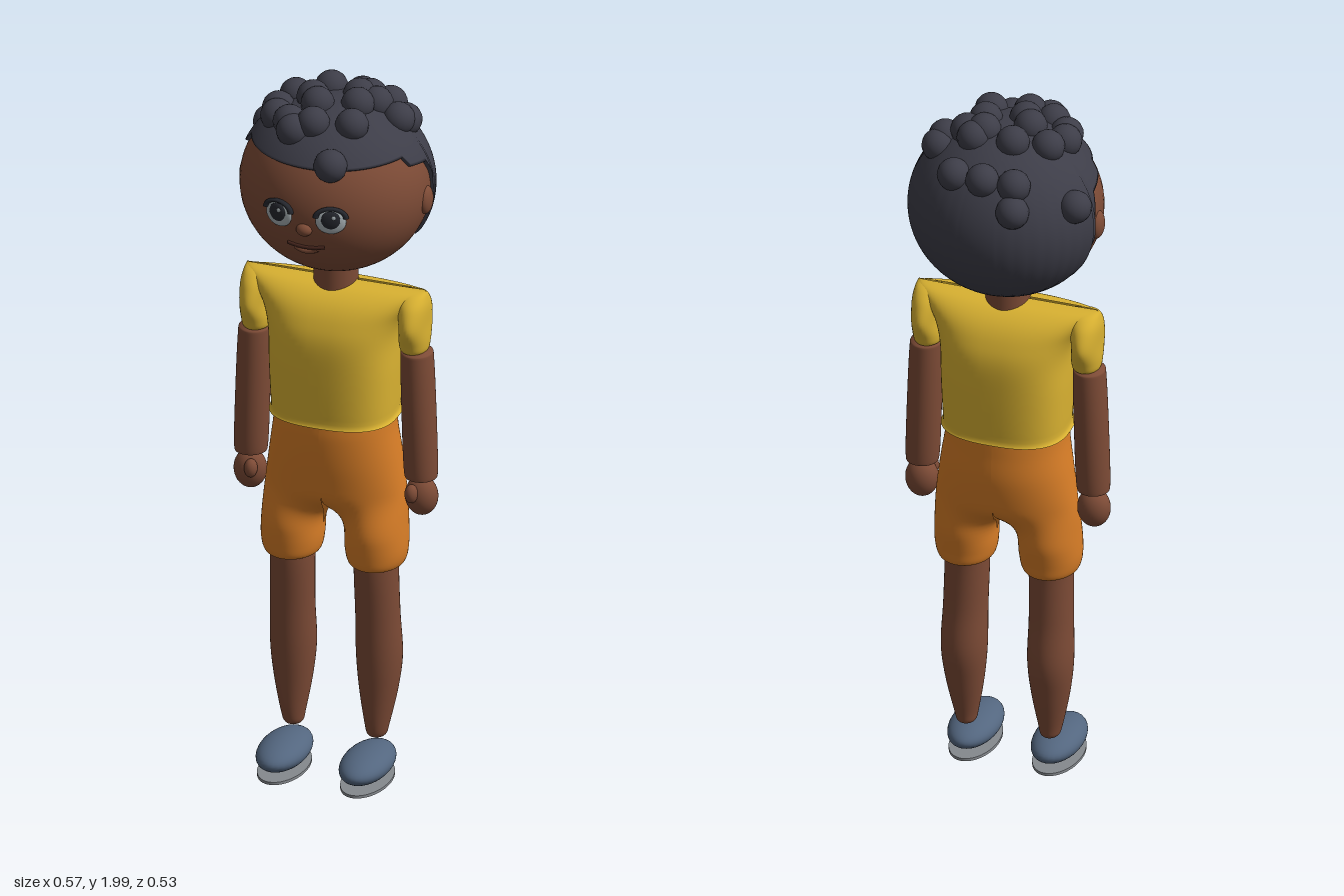
import * as THREE from 'three';

const mat = (name, color, side = THREE.FrontSide) => {
  const m = new THREE.MeshStandardMaterial({ color, side });
  m.name = name;
  return m;
};

// Surface from a grid of points: rows ascending, columns running from +x towards +z
function grid(rows, closed) {
  const n = rows[0].length, pos = rows.flat(2), idx = [];
  for (let i = 0; i < rows.length - 1; i++)
    for (let j = 0; j < (closed ? n : n - 1); j++) {
      const a = i * n + j, b = i * n + (j + 1) % n;
      idx.push(a, a + n, b, b, a + n, b + n);
    }
  const g = new THREE.BufferGeometry();
  g.setAttribute('position', new THREE.Float32BufferAttribute(pos, 3));
  g.setIndex(idx);
  g.computeVertexNormals();
  return g;
}

// Smooth interpolation of section rows [y, cx, cz, rx, rz]
function smoothRows(rows, steps) {
  const c = new THREE.CatmullRomCurve3(rows.map(r => new THREE.Vector3(r[0], r[1], r[2])), false, 'catmullrom');
  const s = new THREE.CatmullRomCurve3(rows.map(r => new THREE.Vector3(r[3], r[4], 0)), false, 'catmullrom');
  return Array.from({ length: steps + 1 }, (_, i) => {
    const p = c.getPoint(i / steps), q = s.getPoint(i / steps);
    return [p.x, p.y, p.z, Math.max(q.x, 0.001), Math.max(q.y, 0.001)];
  });
}

// Loft of superelliptic sections
function loft(rows, power = 2, n = 40) {
  const f = v => Math.sign(v) * Math.abs(v) ** (2 / power);
  return grid(smoothRows(rows, rows.length * 5).map(([y, cx, cz, rx, rz]) =>
    Array.from({ length: n }, (_, j) => {
      const a = j / n * Math.PI * 2;
      return [cx + rx * f(Math.cos(a)), y, cz + rz * f(Math.sin(a))];
    })), true);
}

const HEAD = { y: 1.71, r: [0.256, 0.24, 0.247] };
const HAIR = [0.266, 0.246, 0.263];

// Hair shell whose lower edge follows a hairline given by azimuth from the front
function hairShell() {
  const line = [[0, 1.842], [72, 1.842], [76, 1.815], [94, 1.8], [98, 1.76], [102, 1.58], [115, 1.535], [130, 1.495], [180, 1.477]];
  const edge = deg => {
    const k = Math.max(1, line.findIndex(p => p[0] >= deg));
    const [a, b] = [line[k - 1], line[k]];
    const y = a[1] + (b[1] - a[1]) * (deg - a[0]) / (b[0] - a[0]);
    const jag = deg > 102 && deg < 170 ? 0.007 * Math.sin(deg * 0.7) : 0;
    return Math.acos((y + jag - HEAD.y) / HAIR[1]);
  };
  const rows = [], cols = 180, steps = 36;
  for (let i = -1; i <= steps; i++) {
    const t = i < 0 ? 1 : 1 - i / steps, s = i < 0 ? 0.93 : 1;
    rows.push(Array.from({ length: cols }, (_, j) => {
      const a = j / cols * Math.PI * 2;
      const deg = Math.abs(Math.atan2(Math.cos(a), Math.sin(a))) * 180 / Math.PI;
      const th = Math.max(t * edge(Math.min(deg, 180)), 0.002);
      return [s * HAIR[0] * Math.sin(th) * Math.cos(a), HEAD.y + s * HAIR[1] * Math.cos(th), s * HAIR[2] * Math.sin(th) * Math.sin(a)];
    }));
  }
  return grid(rows, true);
}

// One half of the shorts: half-ellipse at the waist that closes into a round leg
function shortsHalf() {
  const rows = smoothRows([
    [0.615, 0.118, 0.008, 0.05, 0.06], [0.62, 0.118, 0.008, 0.073, 0.084], [0.66, 0.118, 0.008, 0.084, 0.092],
    [0.74, 0.116, 0.003, 0.084, 0.103], [0.82, 0.11, -0.004, 0.085, 0.118], [0.92, 0.1, -0.004, 0.082, 0.131],
    [1.0, 0.09, 0, 0.08, 0.132], [1.045, 0.088, 0, 0.078, 0.13]], 44);
  const n = 48;
  return grid(rows.map(([y, cx, cz, rx, rz]) => {
    const s = 1 - THREE.MathUtils.smoothstep(y, 0.7, 0.83);
    return Array.from({ length: n + 1 }, (_, j) => {
      const a = (j / n * 2 - 1) * Math.PI, h = a / 2;
      const x = THREE.MathUtils.lerp((cx + rx) * Math.cos(h), cx + rx * Math.cos(a), s);
      return [Math.max(x, 0), y, cz + rz * THREE.MathUtils.lerp(Math.sin(h), Math.sin(a), s)];
    });
  }), false);
}

export function createModel() {
  const root = new THREE.Group();
  root.name = 'child';
  const skin = mat('skin', 0x7d4b36), shirt = mat('yellowShirt', 0xdcb432, THREE.DoubleSide);
  const shorts = mat('orangeShorts', 0xd97e27, THREE.DoubleSide), hair = mat('darkHair', 0x3d3d48, THREE.DoubleSide);
  const shoe = mat('blueShoe', 0x53667f), soleMat = mat('greySole', 0x85898e);
  const white = mat('eyeWhite', 0xa9b2b6), dark = mat('eyeDark', 0x25272e), lip = mat('lip', 0x4a281f);

  const add = (name, geo, material, parent = root) => {
    const m = new THREE.Mesh(geo, material);
    m.name = name;
    parent.add(m);
    return m;
  };
  const ball = (name, material, p, r, parent = root, seg = 32) => {
    const m = add(name, new THREE.SphereGeometry(1, seg, Math.ceil(seg * 0.7)), material, parent);
    m.position.set(...p);
    m.scale.set(...r);
    return m;
  };

  // Head and hair
  ball('head', skin, [0, HEAD.y, 0], HEAD.r, root, 56);
  add('hair', hairShell(), hair);
  const curls = [[-0.09, -0.22], [-0.08, -0.18], [0.005, -0.19], [0.09, -0.175], [-0.225, -0.105], [-0.04, -0.075],
    [-0.125, -0.035], [0.07, -0.075], [0.172, -0.065], [0.163, -0.035], [0.05, -0.045], [0.1, -0.04], [0.065, 0.01],
    [-0.15, 0.03], [-0.14, 0.07], [-0.06, 0.01], [-0.035, 0.045], [-0.09, 0.11], [-0.02, 0.12], [-0.07, 0.14],
    [0.08, 0.095], [0.06, 0.205]];
  for (const [x, z] of curls) {
    const h = Math.sqrt(Math.max(0.02, 1 - (x / HAIR[0]) ** 2 - (z / HAIR[2]) ** 2));
    ball('curl', hair, [x, HEAD.y + HAIR[1] * h, z], [0.045, 0.045, 0.045], root, 16);
  }

  // Face
  const faceZ = (x, y) => HEAD.r[2] * Math.sqrt(1 - (x / HEAD.r[0]) ** 2 - ((y - HEAD.y) / HEAD.r[1]) ** 2);
  ball('nose', skin, [0, 1.674, 0.243], [0.022, 0.018, 0.018]);
  const lipCurve = (w, y, sag) => new THREE.CatmullRomCurve3([-1, -0.5, 0, 0.5, 1].map(t => {
    const yy = y - sag * (1 - t * t);
    return new THREE.Vector3(t * w, yy, faceZ(t * w, yy));
  }));
  add('mouth', new THREE.TubeGeometry(lipCurve(0.052, 1.622, 0.006), 24, 0.006, 8), lip);
  add('lowerLip', new THREE.TubeGeometry(lipCurve(0.032, 1.614, 0.012), 24, 0.008, 8), skin);

  for (const s of [1, -1]) {
    const side = s > 0 ? 'left' : 'right';
    // Eye: white, iris, glint and upper lashes
    const eye = new THREE.Group(), ex = 0.073 * s, ey = 1.713, ez = faceZ(ex, ey);
    eye.name = side + 'Eye';
    eye.position.set(ex, ey, ez);
    eye.rotation.y = Math.atan2(ex / HEAD.r[0] ** 2, ez / HEAD.r[2] ** 2);
    root.add(eye);
    ball('eyeWhite', white, [0, -0.006, 0], [0.041, 0.036, 0.01], eye);
    ball('iris', dark, [0, 0, 0.006], [0.026, 0.026, 0.008], eye, 24);
    ball('glint', white, [0.008, 0.01, 0.013], [0.006, 0.006, 0.003], eye, 12);
    const lash = add('lashes', new THREE.TorusGeometry(0.04, 0.008, 8, 24, Math.PI), dark, eye);
    lash.scale.y = 0.65;
    lash.position.set(0, 0.006, 0.003);

    ball(side + 'Ear', skin, [0.252 * s, 1.693, -0.003], [0.018, 0.04, 0.031]);
  }

  // Neck and shirt
  const neck = add('neck', new THREE.CylinderGeometry(0.06, 0.06, 0.12, 32), skin);
  neck.position.y = 1.445;
  add('shirtBody', loft([
    [1.04, 0, 0, 0.02, 0.02], [1.041, 0, 0, 0.162, 0.132], [1.06, 0, 0, 0.168, 0.138], [1.18, 0, 0, 0.174, 0.142],
    [1.28, 0, 0, 0.177, 0.14], [1.34, 0, 0, 0.192, 0.123], [1.385, 0, 0, 0.22, 0.095], [1.415, 0, 0, 0.245, 0.055],
    [1.43, 0, 0, 0.25, 0.004]], 2.6, 64), shirt);

  // Shorts crotch
  ball('crotch', shorts, [0, 0.84, -0.002], [0.1, 0.07, 0.1]);

  // Paired limbs, built on the left and mirrored
  const sleeve = loft([
    [1.25, 0.225, 0, 0.01, 0.01], [1.252, 0.222, 0, 0.034, 0.044], [1.28, 0.222, 0, 0.04, 0.06],
    [1.33, 0.224, 0, 0.038, 0.081], [1.38, 0.222, 0, 0.041, 0.068], [1.41, 0.22, 0, 0.038, 0.042], [1.428, 0.218, 0, 0.033, 0.004]]);
  const arm = loft([
    [0.878, 0.24, 0, 0.002, 0.002], [0.882, 0.24, 0, 0.036, 0.037], [0.9, 0.239, 0, 0.045, 0.046], [1.06, 0.234, 0, 0.046, 0.05],
    [1.22, 0.229, 0, 0.044, 0.049], [1.25, 0.228, 0, 0.038, 0.042], [1.262, 0.227, 0, 0.002, 0.002]]);
  const leg = loft([
    [0.1, 0.117, 0.004, 0.002, 0.002], [0.108, 0.117, 0.004, 0.024, 0.028], [0.14, 0.118, 0.005, 0.033, 0.038],
    [0.24, 0.12, -0.001, 0.052, 0.053], [0.34, 0.121, -0.004, 0.062, 0.064], [0.46, 0.12, 0.005, 0.06, 0.06],
    [0.58, 0.118, 0.011, 0.06, 0.061], [0.66, 0.118, 0.01, 0.06, 0.062]]);
  const halfShorts = shortsHalf();
  for (const s of [1, -1]) {
    const half = new THREE.Group();
    half.name = s > 0 ? 'leftLimbs' : 'rightLimbs';
    half.scale.x = s;
    root.add(half);
    add('sleeve', sleeve, shirt, half);
    add('arm', arm, skin, half);
    ball('hand', skin, [0.241, 0.825, 0], [0.045, 0.055, 0.04], half);
    ball('thumb', skin, [0.226, 0.843, 0.038], [0.018, 0.026, 0.02], half, 20);
    add('shortsLeg', halfShorts, shorts, half);
    add('leg', leg, skin, half);
    ball('shoe', shoe, [0.117, 0.055, 0.076], [0.067, 0.041, 0.125], half);
    const sole = add('sole', new THREE.CylinderGeometry(1, 1, 0.008, 40), soleMat, half);
    sole.position.set(0.117, 0.006, 0.076);
    sole.scale.set(0.064, 1, 0.118);
  }
  // Rest on the ground
  root.children.forEach(c => { c.position.y -= 0.002; });
  return root;
}
